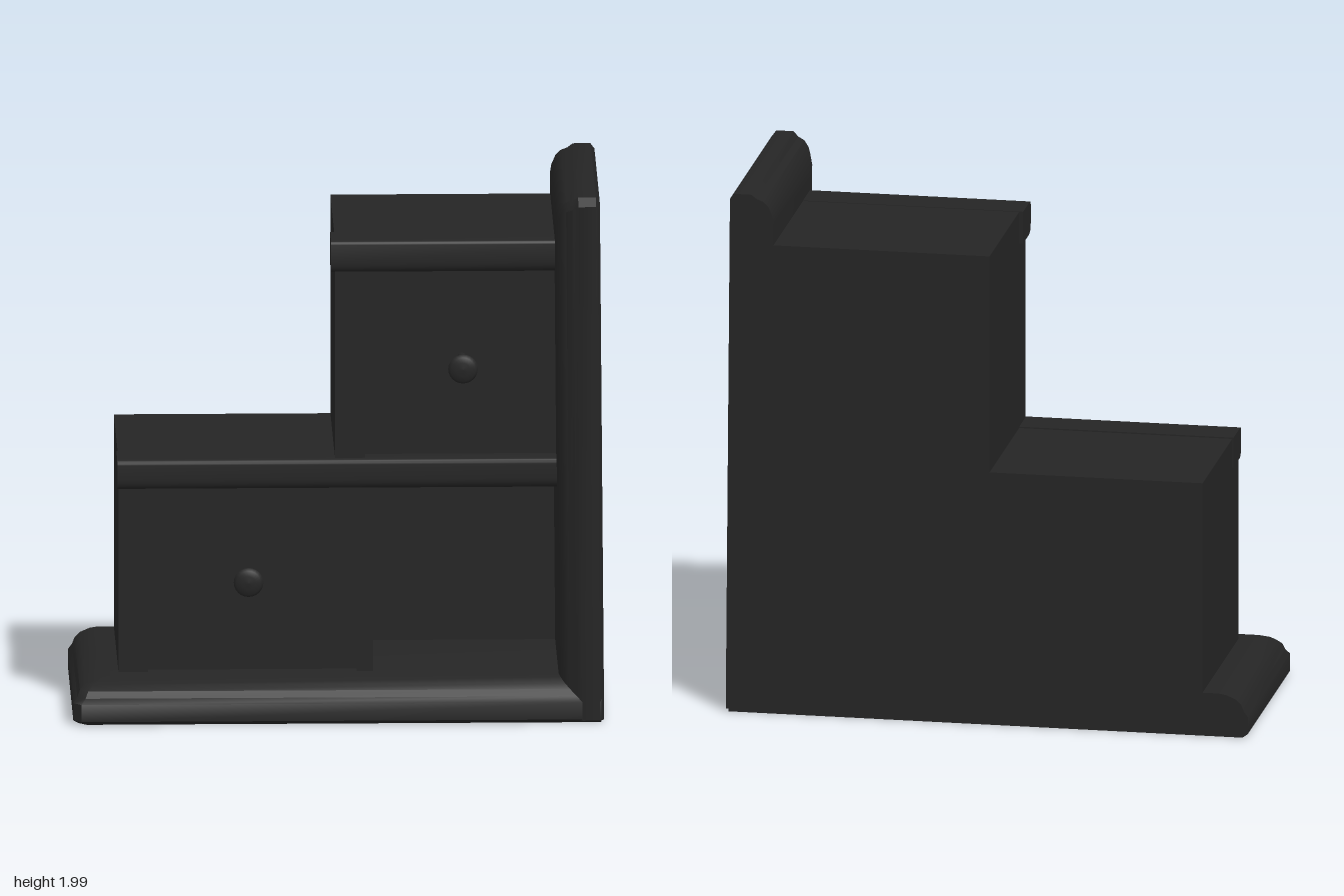
import * as THREE from 'three';
import { toCreasedNormals } from 'three/addons/utils/BufferGeometryUtils.js';

const BACK = -0.45;
const FRONT = 0.44;

// Moulded edge: [height through the board, inset of the outer end and the front]
const MOULDING = [
  [0, 0.02], [0.015, 0], [0.08, 0], [0.1, 0.015], [0.125, 0.025],
  [0.145, 0.045], [0.16, 0.08], [0.165, 0.11],
];

// Board whose end and front edges follow the moulding. place(a, h, z) puts
// length a and thickness h into the model.
function mouldedBoard(length, layers, place, flip) {
  const pos = [];
  const index = [];
  for (const [h, inset] of layers) {
    const corners = [
      [inset, BACK], [inset, FRONT - inset - 0.03], [inset + 0.03, FRONT - inset],
      [length, FRONT - inset], [length, BACK],
    ];
    for (const [a, z] of corners) pos.push(...place(a, h, z));
  }
  const n = 5;
  const tri = (a, b, c) => (flip ? index.push(a, c, b) : index.push(a, b, c));
  for (let l = 0; l < layers.length - 1; l++) {
    for (let i = 0; i < n; i++) {
      const a = l * n + i;
      const b = l * n + (i + 1) % n;
      tri(a, b, b + n);
      tri(a, b + n, a + n);
    }
  }
  const top = (layers.length - 1) * n;
  for (let i = 1; i < n - 1; i++) {
    tri(0, i + 1, i);
    tri(top, top + i, top + i + 1);
  }
  const g = new THREE.BufferGeometry();
  g.setAttribute('position', new THREE.Float32BufferAttribute(pos, 3));
  g.setIndex(index);
  return toCreasedNormals(g, 0.7);
}

// Horizontal rail with a rounded nose, running along x
function railGeometry(x0, x1, y0, y1) {
  const r = 0.04;
  const zBack = 0.15;
  const zNose = 0.305;
  const s = new THREE.Shape();
  s.moveTo(-zBack, y0);
  s.lineTo(-zNose + r, y0);
  s.quadraticCurveTo(-zNose, y0, -zNose, y0 + r);
  s.lineTo(-zNose, y1 - r / 2);
  s.quadraticCurveTo(-zNose, y1, -zNose + r / 2, y1);
  s.lineTo(-zBack, y1);
  const g = new THREE.ExtrudeGeometry(s, { depth: x1 - x0, bevelEnabled: false, curveSegments: 6 });
  g.rotateY(Math.PI / 2);
  g.translate(x0, 0, 0);
  return toCreasedNormals(g, 0.7);
}

// Mushroom knob pointing to +z, its face at z = 0
function knobGeometry(stem) {
  const profile = [
    [0.018, -stem], [0.018, -0.06], [0.03, -0.04], [0.052, -0.025],
    [0.055, -0.014], [0.045, -0.004], [0.025, 0], [0, 0.002],
  ].map(([r, y]) => new THREE.Vector2(r, y));
  const g = new THREE.LatheGeometry(profile, 24);
  g.rotateX(Math.PI / 2);
  return g;
}

export function createModel() {
  const group = new THREE.Group();
  const charcoal = new THREE.MeshStandardMaterial({ color: 0x252525 });
  charcoal.name = 'charcoal';

  const add = (name, geometry) => {
    const mesh = new THREE.Mesh(geometry, charcoal);
    mesh.name = name;
    group.add(mesh);
    return mesh;
  };
  const box = (name, x0, x1, y0, y1, z0, z1) => {
    const g = new THREE.BoxGeometry(x1 - x0, y1 - y0, z1 - z0);
    g.translate((x0 + x1) / 2, (y0 + y1) / 2, (z0 + z1) / 2);
    add(name, g);
  };

  // Plinth and tall side panel, meeting like a mitred frame
  add('base', mouldedBoard(1.95, MOULDING, (a, h, z) => [a - 0.98, h + 0.01, z], false));
  add('sidePanel', mouldedBoard(1.98, MOULDING,
    (a, h, z) => [0.98 - 0.01 * (2 - a) - h, 2 - a, z].map((v, i) => (i ? v : 0.965 + 0.008 * a - h)), true));

  // Lower cabinet: drawer on one side, open cubby on the other
  box('lowerDrawer', -0.81, 0.08, 0.16, 0.98, BACK, 0.24);
  box('lowerStile', -0.81, -0.7, 0.16, 0.9, 0.1, 0.275);
  box('cubbyDivider', 0.07, 0.13, 0.16, 0.9, BACK, 0.28);
  box('cubbyBack', 0.12, 0.83, 0.16, 0.98, BACK, -0.21);
  box('cubbyCeiling', 0.07, 0.83, 0.875, 0.98, BACK, 0.25);
  add('lowerRail', railGeometry(-0.815, 0.83, 0.87, 0.985));

  // Upper cabinet
  box('upperDrawer', -0.01, 0.83, 0.97, 1.81, BACK, 0.22);
  box('upperStile', -0.01, 0.1, 0.97, 1.75, 0.1, 0.28);
  add('upperRail', railGeometry(-0.025, 0.83, 1.69, 1.812));

  // Knobs
  add('lowerKnob', knobGeometry(0.12)).position.set(-0.33, 0.52, 0.32);
  add('upperKnob', knobGeometry(0.24)).position.set(0.46, 1.35, 0.42);

  return group;
}
